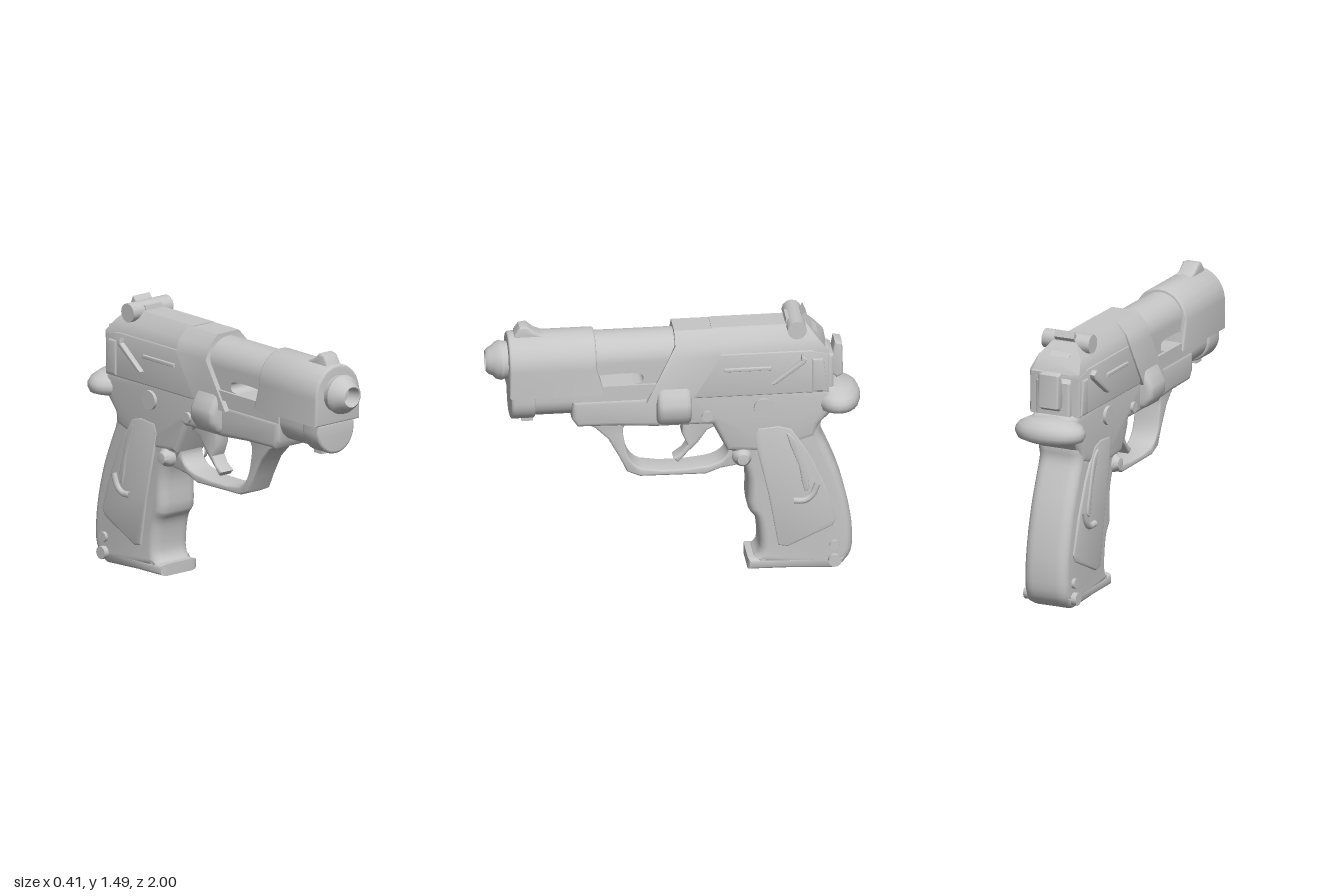
import * as THREE from 'three';
import { toCreasedNormals } from 'three/addons/utils/BufferGeometryUtils.js';

const metal = new THREE.MeshStandardMaterial({ color: 0xc6c6c6 });
metal.name = 'grey metal';

export function createModel() {
  const root = new THREE.Group();
  root.name = 'pistol';

  const add = (name, geo, crease = 0.65) => {
    const m = new THREE.Mesh(toCreasedNormals(geo, crease), metal);
    m.name = name;
    root.add(m);
    return m;
  };

  // closed outline from points, optionally smoothed by a spline
  const outline = (pts, smooth = 0) => {
    let v = pts.map(([a, b]) => new THREE.Vector2(a, b));
    if (smooth) {
      const c = new THREE.CatmullRomCurve3(v.map(p => new THREE.Vector3(p.x, p.y, 0)), true, 'centripetal');
      v = c.getPoints(pts.length * smooth).slice(0, -1).map(p => new THREE.Vector2(p.x, p.y));
    }
    return new THREE.Shape(v);
  };

  const extrude = (shape, depth, bevel = 0, thick = bevel, segs = 3) => new THREE.ExtrudeGeometry(shape, {
    depth: depth - 2 * thick, bevelEnabled: bevel > 0, bevelSize: bevel, bevelOffset: -bevel,
    bevelThickness: thick, bevelSegments: segs, curveSegments: 16,
  }).translate(0, 0, thick);

  // outline in (z, y), extruded across x from x0 to x1
  const flip = pts => pts.map(([z, y]) => [-z, y]);
  const side = (pts, x0, x1, { smooth = 0, bevel = 0, thick = bevel, segs = 3, hole = null } = {}) => {
    const s = outline(flip(pts), smooth);
    if (hole) s.holes.push(outline(flip(hole), 3));
    return extrude(s, x1 - x0, bevel, thick, segs).rotateY(Math.PI / 2).translate(x0, 0, 0);
  };

  // sections in (x, y), extruded along z; y2 above y1 rounds the top, y2 below it the bottom
  const arch = (hw, y0, y1, y2) => {
    const s = new THREE.Shape();
    const up = y2 > y1;
    s.moveTo(up ? -hw : hw, y0);
    s.lineTo(up ? hw : -hw, y0);
    s.lineTo(up ? hw : -hw, y1);
    s.absellipse(0, y1, hw, Math.abs(y2 - y1), up ? 0 : Math.PI, up ? Math.PI : 2 * Math.PI);
    return s;
  };
  const mirrored = half => outline([...half, ...half.map(([x, y]) => [-x, y]).reverse()]);
  const faceted = (hw, y0, y1, y2, top) => mirrored([[hw, y0], [hw, y1], [hw * 0.85, (y1 + y2) / 2], [top, y2]]);
  const along = (shape, z0, z1, bevel = 0) => extrude(shape, z1 - z0, bevel).translate(0, 0, z0);

  // move z by a rule of y and z
  const shiftZ = (geo, rule) => {
    const p = geo.attributes.position;
    for (let i = 0; i < p.count; i++) p.setZ(i, rule(p.getY(i), p.getZ(i)));
    return geo;
  };

  const rod = (x0, x1, y, z, r, n = 16) =>
    new THREE.CylinderGeometry(r, r, x1 - x0, n).rotateZ(Math.PI / 2).translate((x0 + x1) / 2, y, z);
  const box = (x, y, z, w, h, d) => new THREE.BoxGeometry(w, h, d).translate(x, y, z);
  const lathe = pts => new THREE.LatheGeometry(pts.map(([r, y]) => new THREE.Vector2(r, y)), 24);

  // slide
  add('slideFront', shiftZ(along(arch(0.155, 1.1, 1.25, 1.42), 0.42, 0.885, 0.012),
    (y, z) => z < 0.5 && y < 1.15 ? z - 0.04 : z));
  add('slideTop', along(arch(0.13, 1.21, 1.27, 1.4), -0.1, 0.44));
  add('slideWindow', side([[0.44, 1.09], [0.44, 1.27], [-0.15, 1.27], [-0.15, 1.09]], -0.13, 0.13, {
    hole: [[0.4, 1.148], [0.19, 1.15], [0.172, 1.165], [0.172, 1.19], [0.19, 1.205], [0.36, 1.208], [0.41, 1.2]],
  }), 0.5);
  add('slideLedge', box(0, 1.12, 0.18, 0.292, 0.05, 0.5));
  add('slideRear', side([[-0.1, 1.05], [-0.1, 1.3], [-0.72, 1.3], [-0.82, 1.28], [-0.82, 1.05]], -0.147, 0.147, { bevel: 0.008 }));
  add('slideRearTop', shiftZ(along(faceted(0.146, 1.25, 1.29, 1.425, 0.07), -0.82, -0.2),
    (y, z) => z < -0.8 && y > 1.28 ? z + (y - 1.29) * 0.85 : z));

  // slanted band around the slide
  add('slideBand', shiftZ(along(faceted(0.158, 1.04, 1.29, 1.42, 0.075), -0.24, 0),
    (y, z) => z + Math.max(0, 1.29 - y) * 0.62));

  // muzzle with a bore
  add('muzzle', lathe([[0.1, 0.86], [0.1, 0.9], [0.107, 0.92], [0.1, 0.945], [0.08, 0.965], [0.072, 0.985], [0.055, 1],
    [0.05, 0.99], [0.045, 0.92], [0, 0.92]]).rotateX(Math.PI / 2).translate(0, 1.265, 0), 0.6);

  // sights
  add('frontSight', side([[0.86, 1.38], [0.845, 1.43], [0.82, 1.465], [0.78, 1.47], [0.74, 1.435], [0.68, 1.41], [0.68, 1.38]],
    -0.048, 0.048, { bevel: 0.012 }));
  add('rearSightBar', rod(-0.14, 0.14, 1.415, -0.65, 0.052, 12));
  add('rearSight', side([[-0.59, 1.4], [-0.6, 1.45], [-0.68, 1.46], [-0.7, 1.485], [-0.715, 1.45], [-0.69, 1.42], [-0.77, 1.36]],
    -0.058, 0.058));

  // frame under the slide
  add('guideHousing', along(arch(0.115, 1.105, 1.06, 0.945), 0.5, 0.86, 0.01));
  add('guideCollar', along(arch(0.128, 1.105, 1.06, 0.93), 0.74, 0.872, 0.015));
  add('guidePin', box(0, 0.945, 0.78, 0.1, 0.045, 0.06));
  add('frameRail', side([[0.55, 1.06], [0.55, 0.95], [0.52, 0.905], [0.3, 0.9], [0.1, 0.885], [-0.25, 0.885], [-0.25, 1.06]],
    -0.132, 0.132, { bevel: 0.025 }));
  add('railStrip', box(0, 1.075, 0.195, 0.255, 0.05, 0.71));
  add('frameRear', side([[0, 1.1], [0, 0.9], [-0.2, 0.88], [-0.28, 0.72], [-0.5, 0.7], [-0.75, 0.78], [-0.77, 0.85], [-0.83, 0.92],
    [-0.86, 1.02], [-0.82, 1.06], [-0.78, 1.1]], -0.134, 0.134, { bevel: 0.035 }));
  add('frameEars', along(mirrored([[0.13, 0.9], [0.165, 0.915], [0.203, 0.97], [0.203, 1.035], [0.175, 1.085], [0.14, 1.15]]),
    -0.085, 0.1, 0.03), 0.9);

  // trigger guard and trigger
  add('triggerGuard', side([[0.5, 0.91], [0.42, 0.87], [0.35, 0.8], [0.29, 0.69], [0.25, 0.605], [0.18, 0.575], [-0.17, 0.57], [-0.25, 0.6],
    [-0.38, 0.62], [-0.4, 0.76], [-0.28, 0.91]], -0.075, 0.075, {
    bevel: 0.01,
    hole: [[0.24, 0.89], [0.27, 0.86], [0.265, 0.79], [0.235, 0.68], [0.17, 0.62], [-0.17, 0.615], [-0.26, 0.65], [-0.29, 0.71], [-0.24, 0.81], [-0.17, 0.89]],
  }));
  add('trigger', side([[-0.05, 0.91], [-0.045, 0.8], [-0.075, 0.73], [-0.05, 0.69], [0, 0.655], [-0.025, 0.63], [-0.08, 0.69], [-0.13, 0.74],
    [-0.18, 0.81], [-0.24, 0.84], [-0.22, 0.91]], -0.045, 0.045, { bevel: 0.012 }));

  // grip
  add('grip', side([[-0.25, 0.85], [-0.29, 0.73], [-0.36, 0.63], [-0.39, 0.53], [-0.395, 0.36], [-0.43, 0.31], [-0.45, 0.22], [-0.45, 0.11],
    [-0.41, 0.06], [-0.6, 0.025], [-0.8, 0.01], [-0.89, 0.02], [-0.94, 0.08], [-0.95, 0.2], [-0.93, 0.36], [-0.88, 0.55],
    [-0.82, 0.7], [-0.78, 0.8], [-0.78, 0.88], [-0.6, 0.95]], -0.127, 0.127, { smooth: 3, bevel: 0.045, thick: 0.06, segs: 5 }), 0.9);
  add('gripBase', side([[-0.39, 0.08], [-0.39, 0.015], [-0.6, 0.012], [-0.84, 0], [-0.9, 0.03], [-0.92, 0.08]], -0.127, 0.127,
    { bevel: 0.02, thick: 0.04 }), 0.9);

  // cap-shaped beavertail flaring out behind the grip
  add('beavertail', lathe([[0, 0.915], [0.15, 0.925], [0.187, 0.938], [0.2, 0.965], [0.198, 0.99], [0.18, 1.015], [0.13, 1.042], [0, 1.06]])
    .scale(1, 1, 0.64).translate(0, 0, -0.872), 1);
  add('beavertailNeck', side([[-0.74, 1.06], [-0.74, 0.82], [-0.785, 0.86], [-0.83, 0.905], [-0.92, 0.94], [-0.92, 1.02], [-0.85, 1.06]],
    -0.125, 0.125, { bevel: 0.03, thick: 0.045 }), 0.9);

  // hammer
  add('hammerMount', side([[-0.72, 1.04], [-0.72, 1.25], [-0.8, 1.27], [-0.85, 1.24], [-0.85, 1.04]], -0.1, 0.1, { bevel: 0.015 }));
  add('hammer', side([[-0.83, 1.13], [-0.86, 1.3], [-0.9, 1.29], [-0.905, 1.11], [-0.87, 1.09]], -0.06, 0.06, { bevel: 0.012 }));

  // details repeated on both sides
  for (const s of [1, -1]) {
    const both = (name, x0, x1, make) => add(name, s > 0 ? make(x0, x1) : make(-x1, -x0));
    both('safetyLever', 0.13, 0.175, (a, b) => side([[-0.51, 1.125], [-0.67, 1.25], [-0.67, 1.28], [-0.7, 1.26], [-0.69, 1.235], [-0.53, 1.12]], a, b, { bevel: 0.005 }));
    both('slideRib', 0.13, 0.158, (a, b) => side([[-0.26, 1.198], [-0.26, 1.218], [-0.51, 1.218], [-0.51, 1.198]], a, b, { bevel: 0.004 }));
    both('slideRearPlate', 0.12, 0.156, (a, b) => side([[-0.73, 1.06], [-0.73, 1.25], [-0.79, 1.25], [-0.81, 1.06]], a, b, { bevel: 0.008 }));
    both('frameButton', 0.12, 0.152, (a, b) => rod(a, b, 0.975, -0.47, 0.052, 20));
    both('pivotPin', 0.12, 0.15, (a, b) => rod(a, b, 0.94, -0.17, 0.03, 12));
    both('gripPanel', 0.11, 0.137, (a, b) => side([[-0.42, 0.8], [-0.44, 0.85], [-0.55, 0.86], [-0.62, 0.84], [-0.72, 0.68], [-0.8, 0.5], [-0.86, 0.3], [-0.84, 0.26],
      [-0.6, 0.15], [-0.55, 0.16], [-0.5, 0.45]], a, b, { bevel: 0.008 }));
    both('gripRidge', 0.12, 0.145, (a, b) => side([[-0.59, 0.82], [-0.64, 0.78], [-0.69, 0.62], [-0.715, 0.49], [-0.69, 0.47], [-0.66, 0.62]], a, b, { smooth: 2, bevel: 0.006 }));
    const hook = new THREE.CatmullRomCurve3([[-0.63, 0.42], [-0.69, 0.42], [-0.73, 0.45], [-0.758, 0.515]]
      .map(([z, y]) => new THREE.Vector3(s * 0.14, y, z)));
    add('gripHook', new THREE.TubeGeometry(hook, 12, 0.018, 8), 1);
    add('magazineButton', lathe([[0.055, 0.1], [0.048, 0.13], [0.034, 0.145], [0.03, 0.158], [0, 0.162]])
      .rotateZ(-s * Math.PI / 2).translate(0, 0.68, -0.36), 0.9);
    both('basePin', 0.1, 0.156, (a, b) => rod(a, b, 0.06, -0.85, 0.035, 10));
    both('strapPin', 0.1, 0.145, (a, b) => rod(a, b, 0.145, -0.85, 0.028, 10));
  }
  return root;
}
